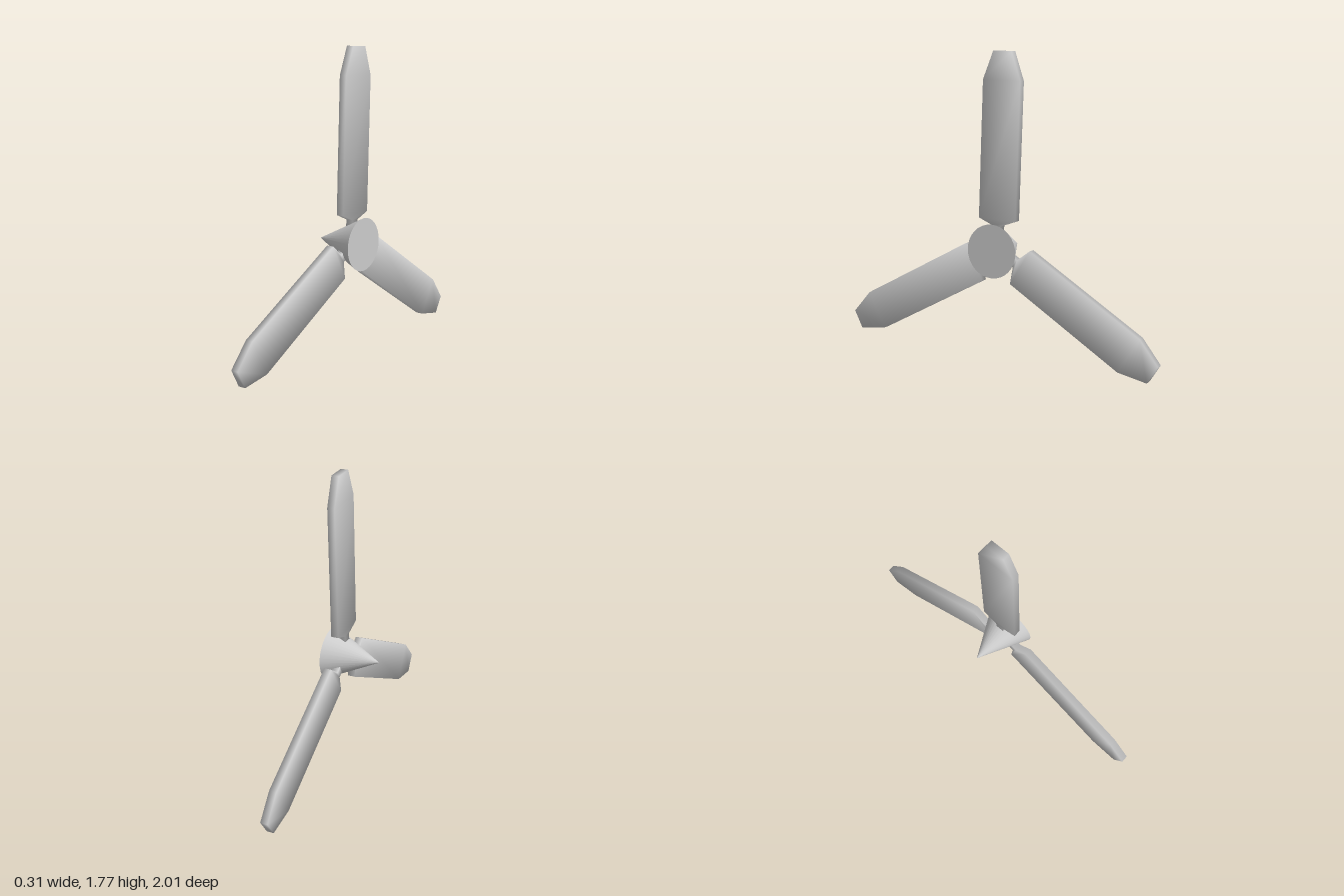
import * as THREE from 'three';

const grey = new THREE.MeshStandardMaterial({ color: 0xcccccc });

// Flat blade lofted along +y from [radius, half width] rows, with softened normals
function bladeGeometry() {
  const rows = [[0.08, 0.025], [0.138, 0.025], [0.175, 0.119], [0.963, 0.119], [1.126, 0.058]];
  const corners = [[-1, -1], [-1, 1], [1, 1], [1, -1]];
  const midX = 0.072, halfX = 0.022, midZ = 0.004;
  const pos = [], nor = [], index = [];
  const last = rows.length - 1;
  rows.forEach(([r, w], i) => {
    const lean = [-0.6, -0.6, -0.5, 0.2, 0.8][i];
    corners.forEach(([sx, sz], j) => {
      pos.push(midX + sx * halfX, r, midZ + sz * w);
      const n = new THREE.Vector3(sx, lean, sz * 0.8).normalize();
      nor.push(n.x, n.y, n.z);
      if (i < last) {
        const a = i * 4 + j, b = i * 4 + (j + 1) % 4;
        index.push(a, b, b + 4, a, b + 4, a + 4);
      }
    });
  });
  const t = last * 4;
  index.push(t, t + 1, t + 2, t, t + 2, t + 3); // tip
  index.push(0, 2, 1, 0, 3, 2); // root
  const g = new THREE.BufferGeometry();
  g.setAttribute('position', new THREE.Float32BufferAttribute(pos, 3));
  g.setAttribute('normal', new THREE.Float32BufferAttribute(nor, 3));
  g.setIndex(index);
  return g;
}

export function createModel() {
  const model = new THREE.Group();
  model.name = 'propeller';

  // Everything turns about the hub axis, which runs along x
  const rotor = new THREE.Group();
  rotor.name = 'rotor';
  rotor.position.set(0, 0.645, -0.02);
  model.add(rotor);

  // Conical hub, point towards -x
  const hub = new THREE.Mesh(new THREE.ConeGeometry(0.155, 0.31, 32).rotateZ(Math.PI / 2), grey);
  hub.name = 'hubCone';
  rotor.add(hub);

  // Three blades, evenly spaced
  const geometry = bladeGeometry();
  for (let i = 0; i < 3; i++) {
    const blade = new THREE.Mesh(geometry, grey);
    blade.name = 'blade' + (i + 1);
    blade.rotation.x = -0.037 + i * Math.PI * 2 / 3;
    rotor.add(blade);
  }
  return model;
}
